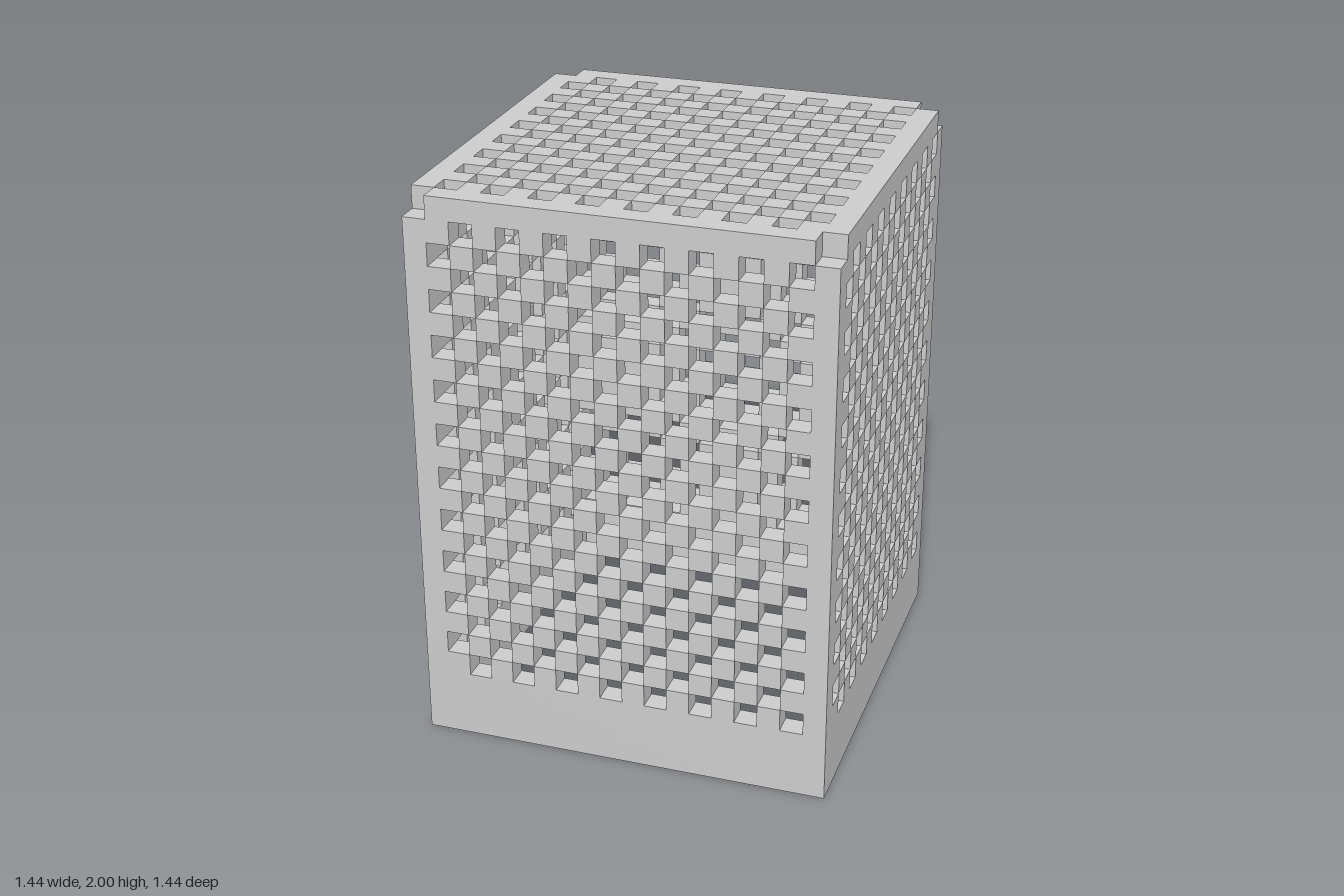
import * as THREE from 'three';

// The lattice box lives on a grid of cubic cells, one cell thick all round
const CELL = 0.08;
const W = 18; // cells across x and z
const H = 25; // cells in height
const BASE = 3; // plain rows at the foot
const LAST = W - 1;
const TOP = H - 1;

const odd = (a, b) => (a + b) % 2 === 1;

// Name of the part that fills a cell, or null where the cell is empty
function partAt(x, y, z) {
  if (x < 0 || y < 0 || z < 0 || x > LAST || y > TOP || z > LAST) return null;
  const xEdge = x === 0 || x === LAST;
  const zEdge = z === 0 || z === LAST;

  // Lid: solid rim with notched corners around a checkered grille
  if (y === TOP) {
    if (xEdge && zEdge) return null;
    return xEdge || zEdge || !odd(x - 1, z - 1) ? 'topGrille' : null;
  }
  if (!xEdge && !zEdge) return null; // hollow inside, open below
  if (y < BASE) return 'baseBand';
  if (xEdge && zEdge) return 'cornerPosts';

  // Side grilles: the same checkered panel turned around the upright axis
  const row = y - BASE;
  if (z === LAST) return odd(x - 1, row) ? null : 'frontGrille';
  if (x === LAST) return odd(LAST - 1 - z, row) ? null : 'leftGrille';
  if (z === 0) return odd(LAST - 1 - x, row) ? null : 'backGrille';
  return odd(z - 1, row) ? null : 'rightGrille';
}

// Adds one outward face of a cell, on the given axis (0, 1, 2) and side (0 or 1)
function addFace(data, cell, axis, side) {
  const u = (axis + 1) % 3;
  const v = (axis + 2) % 3;
  const corners = [[0, 0], [1, 0], [1, 1], [0, 1]];
  if (side === 0) corners.reverse();
  const start = data.positions.length / 3;
  for (const [a, b] of corners) {
    const p = [...cell];
    p[axis] += side;
    p[u] += a;
    p[v] += b;
    data.positions.push((p[0] - W / 2) * CELL, p[1] * CELL, (p[2] - W / 2) * CELL);
    const n = [0, 0, 0];
    n[axis] = side ? 1 : -1;
    data.normals.push(...n);
  }
  data.index.push(start, start + 1, start + 2, start, start + 2, start + 3);
}

export function createModel() {
  const group = new THREE.Group();
  group.name = 'latticeBox';
  const material = new THREE.MeshStandardMaterial({ color: 0xcccccc, flatShading: true });
  const parts = {};

  // Collect only the exposed faces of every filled cell, sorted by part
  for (let x = 0; x < W; x++) {
    for (let y = 0; y < H; y++) {
      for (let z = 0; z < W; z++) {
        const name = partAt(x, y, z);
        if (!name) continue;
        const data = (parts[name] ??= { positions: [], normals: [], index: [] });
        for (let axis = 0; axis < 3; axis++) {
          for (const side of [0, 1]) {
            const next = [x, y, z];
            next[axis] += side ? 1 : -1;
            if (!partAt(...next)) addFace(data, [x, y, z], axis, side);
          }
        }
      }
    }
  }

  // One mesh per part
  for (const [name, data] of Object.entries(parts)) {
    const geometry = new THREE.BufferGeometry();
    geometry.setAttribute('position', new THREE.Float32BufferAttribute(data.positions, 3));
    geometry.setAttribute('normal', new THREE.Float32BufferAttribute(data.normals, 3));
    geometry.setIndex(data.index);
    const mesh = new THREE.Mesh(geometry, material);
    mesh.name = name;
    group.add(mesh);
  }
  return group;
}
